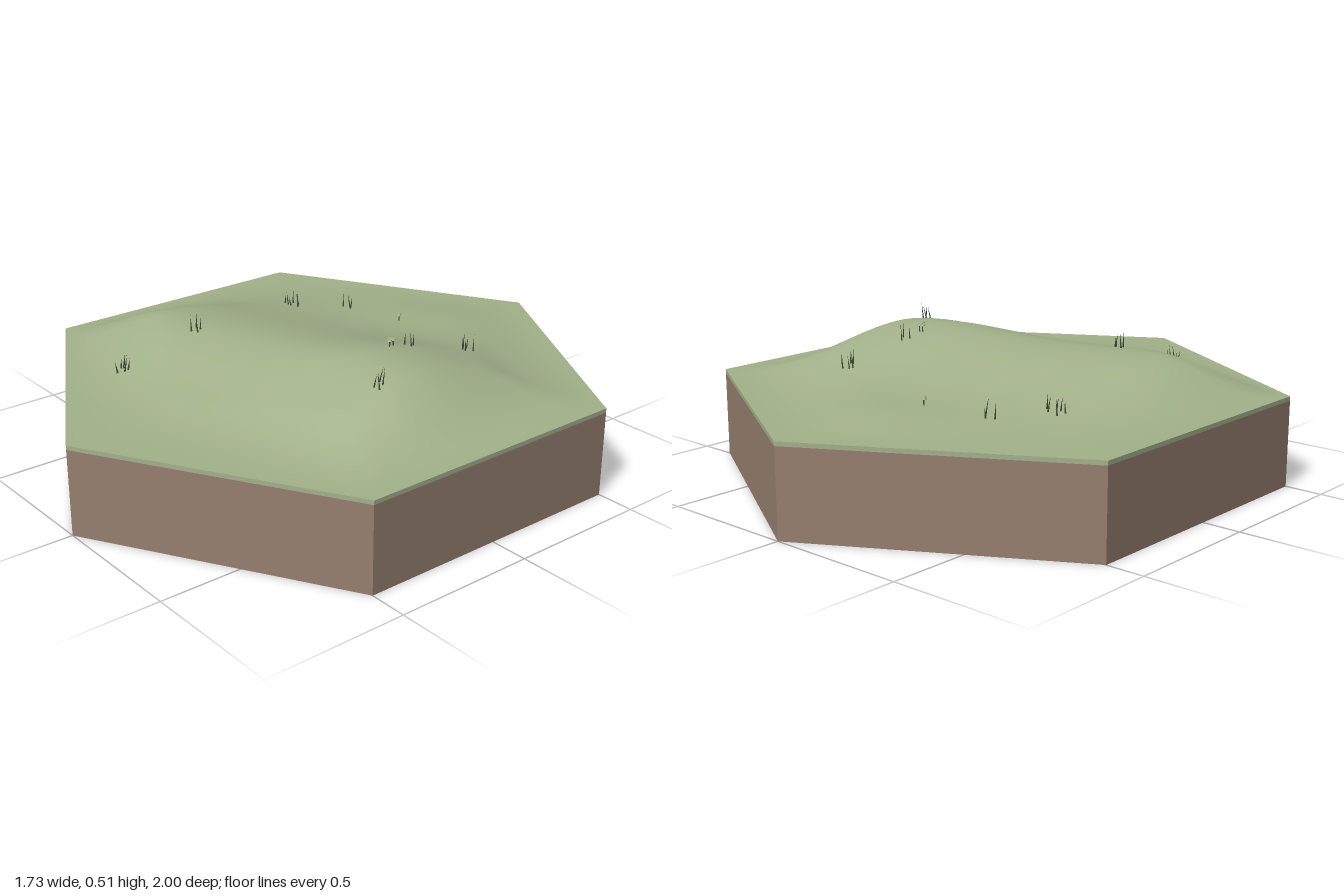
import * as THREE from 'three';
import { mergeGeometries } from 'three/addons/utils/BufferGeometryUtils.js';

const SOIL_TOP = 0.3, EDGE = 0.315, APOTHEM = Math.sqrt(3) / 2;

// Small seeded generator for the grass blades
function seeded(seed) {
  return () => (seed = (seed * 16807) % 2147483647) / 2147483647;
}

// Hill height: a slanted ridge plus a low back swell, fading out at the hexagon edge
function groundHeight(x, z) {
  const reach = Math.max(Math.abs(x), Math.abs(x) / 2 + Math.abs(z) * APOTHEM);
  const fade = THREE.MathUtils.smoothstep(APOTHEM - reach, 0, 0.38);
  const crestZ = 0.145 - 0.31 * Math.min(x, 0.32);
  const width = z > crestZ ? 0.26 : 0.32;
  const crest = 0.122 + 0.042 * Math.exp(-(((x - 0.34) / 0.27) ** 2));
  const ridge = crest * Math.exp(-((z - crestZ) ** 2) / (2 * width * width));
  const swell = 0.025 * Math.exp(-((x / 0.5) ** 2) - (((z + 0.68) / 0.24) ** 2));
  return EDGE + fade * (ridge + swell);
}

// Hexagonal rings of points lifted onto the hill
function terrainGeometry(rings = 48, perSide = 12) {
  const count = perSide * 6, positions = [], index = [];
  const corner = i => [Math.sin(i * Math.PI / 3), Math.cos(i * Math.PI / 3)];
  for (let r = 0; r <= rings; r++) {
    for (let s = 0; s < count; s++) {
      const side = Math.floor(s / perSide), t = (s % perSide) / perSide;
      const [ax, az] = corner(side), [bx, bz] = corner(side + 1);
      const x = (ax + (bx - ax) * t) * r / rings;
      const z = (az + (bz - az) * t) * r / rings;
      positions.push(x, groundHeight(x, z), z);
      if (r === rings) continue;
      const next = (s + 1) % count;
      const a = r * count + s, b = r * count + next;
      index.push(a, a + count, b + count);
      if (r > 0) index.push(a, b + count, b);
    }
  }
  const geometry = new THREE.BufferGeometry();
  geometry.setAttribute('position', new THREE.Float32BufferAttribute(positions, 3));
  geometry.setIndex(index);
  geometry.computeVertexNormals();
  return geometry;
}

// Six-sided slab with crisp faces, corners on the z axis
function hexSlab(bottom, top, open) {
  const geometry = new THREE.CylinderGeometry(1, 1, top - bottom, 6, 1, open).toNonIndexed();
  geometry.computeVertexNormals();
  return geometry.translate(0, (bottom + top) / 2, 0);
}

// A few thin leaning blades
function tuftGeometry(x, z, blades, rand) {
  const parts = [];
  for (let i = 0; i < blades; i++) {
    const angle = i / blades * Math.PI * 2 + rand();
    const spread = 0.01 + rand() * 0.014;
    const height = 0.042 + rand() * 0.025;
    const bx = x + Math.cos(angle) * spread, bz = z + Math.sin(angle) * spread;
    parts.push(new THREE.ConeGeometry(0.004, height, 4)
      .translate(0, height / 2 - 0.003, 0)
      .rotateZ((rand() - 0.5) * 0.35)
      .rotateX((rand() - 0.5) * 0.35)
      .translate(bx, groundHeight(bx, bz), bz));
  }
  return mergeGeometries(parts);
}

export function createModel() {
  const group = new THREE.Group();
  const material = (name, color) => Object.assign(new THREE.MeshStandardMaterial({ color }), { name });
  const grass = material('meadow green', 0xa3b18a);
  const soil = material('soil brown', 0x967f6e);
  const blade = material('dark grass green', 0x47543a);
  const add = (name, geometry, mat, parent = group) => {
    const mesh = new THREE.Mesh(geometry, mat);
    mesh.name = name;
    parent.add(mesh);
  };

  // Tile body
  add('soilBase', hexSlab(0, SOIL_TOP, false), soil);
  add('turfRim', hexSlab(SOIL_TOP, EDGE, true), grass);
  add('hillGround', terrainGeometry(), grass);

  // Grass tufts: x, z, number of blades
  const rand = seeded(41);
  const tufts = [
    [-0.34, -0.42, 3], [-0.5, -0.26, 3], [-0.45, -0.26, 3], [0.34, -0.38, 5],
    [0.3, -0.15, 3], [0.5, 0.16, 4], [-0.3, 0.3, 4], [-0.34, 0.58, 5],
  ];
  for (const [x, z, blades] of tufts) add('grassTuft', tuftGeometry(x, z, blades, rand), blade);

  // Tiny flat-headed sprouts
  const sprouts = [[0.29, -0.07], [0.31, -0.05], [0.3, -0.075], [-0.11, -0.475], [-0.095, -0.46]];
  for (const [x, z] of sprouts) {
    const sprout = new THREE.Group();
    sprout.name = 'sprout';
    sprout.position.set(x, groundHeight(x, z), z);
    add('sproutStem', new THREE.CylinderGeometry(0.002, 0.002, 0.024, 5).translate(0, 0.01, 0), blade, sprout);
    add('sproutHead', new THREE.CylinderGeometry(0.007, 0.009, 0.005, 8).translate(0, 0.023, 0), grass, sprout);
    group.add(sprout);
  }
  return group;
}
